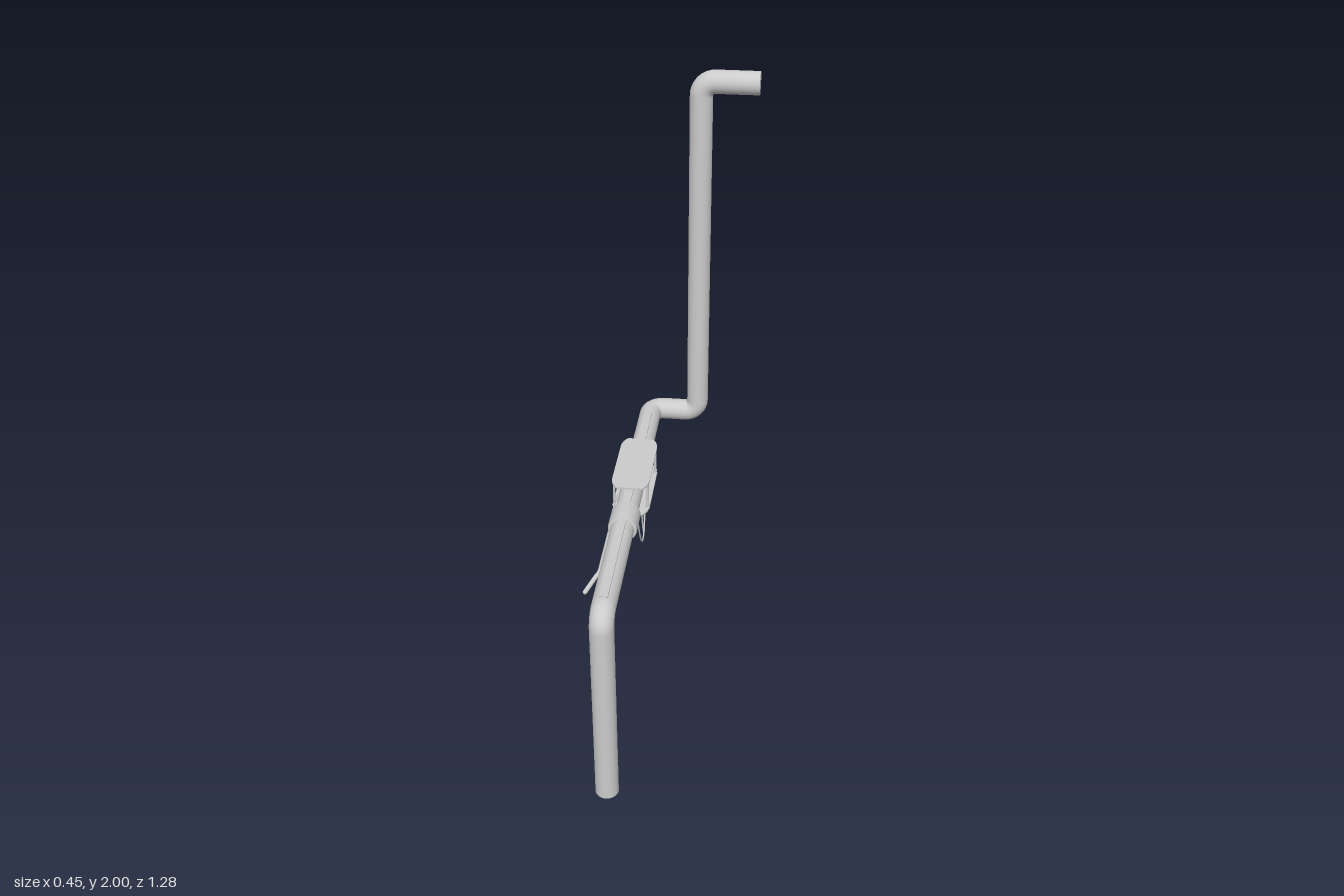
import * as THREE from 'three';

const PX = -0.137, PY = 0.727, R = 0.038; // axis of the long horizontal run
const material = new THREE.MeshStandardMaterial({ color: 0xcccccc });
const V = (x, y, z) => new THREE.Vector3(x, y, z);

// Straight runs joined by rounded bends
function bentPath(points, bend) {
  const path = new THREE.CurvePath();
  let from = points[0];
  for (let i = 1; i < points.length - 1; i++) {
    const p = points[i];
    const a = p.clone().add(points[i - 1].clone().sub(p).setLength(bend));
    const b = p.clone().add(points[i + 1].clone().sub(p).setLength(bend));
    const k = 0.5523; // near-circular bend
    path.add(new THREE.LineCurve3(from, a));
    path.add(new THREE.CubicBezierCurve3(a, a.clone().lerp(p, k), b.clone().lerp(p, k), b));
    from = b;
  }
  path.add(new THREE.LineCurve3(from, points[points.length - 1]));
  path.arcLengthDivisions = 600;
  return path;
}

export function createModel() {
  const group = new THREE.Group();
  const add = (name, geometry, x = 0, y = 0, z = 0) => {
    const mesh = new THREE.Mesh(geometry, material);
    mesh.name = name;
    mesh.position.set(x, y, z);
    group.add(mesh);
    return mesh;
  };

  // Main pipe with four elbows
  const corners = [
    V(PX, 0, 0.602), V(PX, PY, 0.602), V(PX, PY, -0.602),
    V(0.033, PY, -0.602), V(0.033, 1.962, -0.602), V(0.222, 1.962, -0.602),
  ];
  add('pipe', new THREE.TubeGeometry(bentPath(corners, 0.046), 500, R, 32, false));

  // Closed pipe ends
  add('bottomCap', new THREE.CircleGeometry(R, 32), PX, 0, 0.602).rotation.x = Math.PI / 2;
  add('topCap', new THREE.CircleGeometry(R, 32), 0.222, 1.962, -0.602).rotation.y = Math.PI / 2;

  // Narrow strip along the top of the horizontal run
  add('topStrip', new THREE.BoxGeometry(0.027, 0.008, 1.06), PX, PY + R - 0.001, 0.025);

  // Coupling sleeve with softened rims
  const sleeve = [[0.037, -0.047], [0.045, -0.047], [0.048, -0.043], [0.048, 0.043], [0.045, 0.047], [0.037, 0.047]]
    .map(([r, y]) => new THREE.Vector2(r, y));
  add('sleeve', new THREE.LatheGeometry(sleeve, 32), PX, PY, 0.118).rotation.x = Math.PI / 2;

  // Clamp plates, tapered and rounded at both ends
  const w = 0.063, n = 0.039, h = 0.152, s = 0.1;
  const outline = new THREE.Shape();
  outline.moveTo(-n, -h);
  outline.lineTo(n, -h);
  outline.bezierCurveTo(n + 0.012, -h, w, -h + 0.03, w, -s);
  outline.lineTo(w, s);
  outline.bezierCurveTo(w, h - 0.03, n + 0.012, h, n, h);
  outline.lineTo(-n, h);
  outline.bezierCurveTo(-n - 0.012, h, -w, h - 0.03, -w, s);
  outline.lineTo(-w, -s);
  outline.bezierCurveTo(-w, -h + 0.03, -n - 0.012, -h, -n, -h);
  const plate = new THREE.ExtrudeGeometry(outline, { depth: 0.006, bevelEnabled: false, curveSegments: 8 });
  plate.rotateX(-Math.PI / 2);
  add('topPlate', plate, PX, 0.776, -0.145);
  add('bottomPlate', plate, PX, 0.672, -0.145);

  // Four clamp posts, flared where they meet the plates
  const post = new THREE.LatheGeometry(
    [[0.008, -0.05], [0.004, -0.04], [0.004, 0.04], [0.008, 0.05]].map(([r, y]) => new THREE.Vector2(r, y)), 12);
  for (const dx of [-0.057, 0.057])
    for (const z of [-0.04, -0.245]) add('clampPost', post, PX + dx, 0.727, z);

  // Lever rod ending in an angled handle
  const lever = bentPath([V(-0.185, 0.688, -0.08), V(-0.185, 0.688, 0.34), V(-0.219, 0.663, 0.415)], 0.012);
  add('leverRod', new THREE.TubeGeometry(lever, 60, 0.006, 10, false));
  const grip = new THREE.TubeGeometry(new THREE.LineCurve3(V(-0.191, 0.684, 0.354), V(-0.219, 0.663, 0.415)), 1, 0.0075, 10, false);
  add('leverHandle', grip);
  add('leverTip', new THREE.SphereGeometry(0.0075, 10, 8), -0.219, 0.663, 0.415);

  // Cords hanging in loops below the clamp: x, start z, end z, lowest y
  const cords = [
    [-0.16, -0.012, -0.245, 0.458], [-0.115, -0.018, -0.245, 0.47],
    [-0.155, -0.145, -0.245, 0.447], [-0.12, -0.145, -0.247, 0.453],
  ];
  for (const [x, z0, z1, low] of cords) {
    const points = [];
    for (let i = 0; i <= 12; i++) {
      const t = i / 12, u = 2 * t - 1;
      points.push(V(x + 0.004 * Math.sin(t * Math.PI), low + (0.674 - low) * u * u, z0 + (z1 - z0) * t));
    }
    add('hangingCord', new THREE.TubeGeometry(new THREE.CatmullRomCurve3(points), 60, 0.0028, 6, false));
  }
  return group;
}
